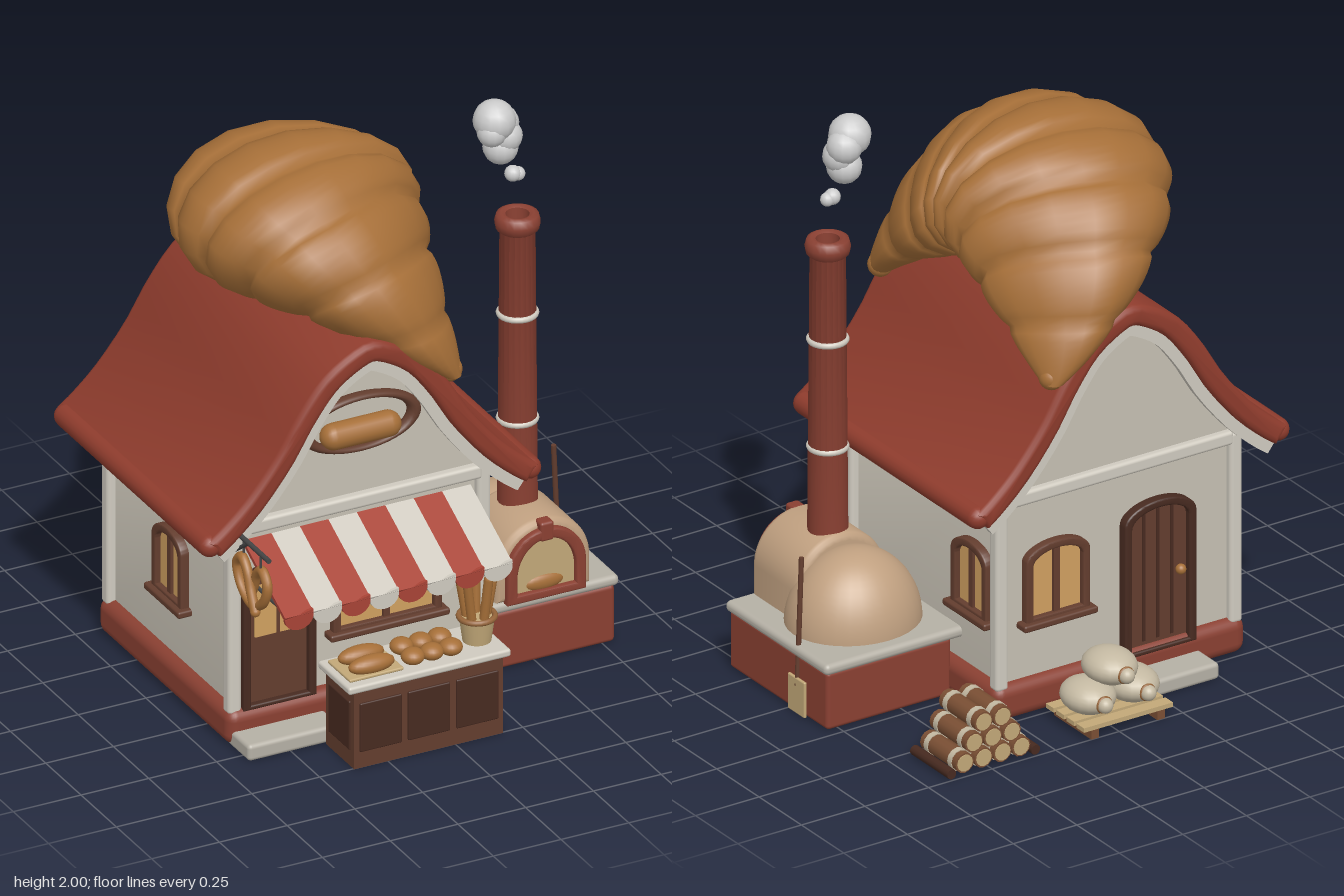
import * as THREE from 'three';
import { toCreasedNormals } from 'three/addons/utils/BufferGeometryUtils.js';
import { RoundedBoxGeometry } from 'three/addons/geometries/RoundedBoxGeometry.js';

const mat = (color) => new THREE.MeshStandardMaterial({ color });
const M = {
  wall: mat(0xc6c0b3), stone: mat(0xb5b0a5), red: mat(0x8a4032), roof: mat(0x8f3c2d), stripe: mat(0xa84336),
  white: mat(0xcfcabf), wood: mat(0x633d2e), dark: mat(0x472a20), glass: mat(0xd0a060), bread: mat(0xa66f38),
  crust: mat(0x96653a), clay: mat(0xc0a080), log: mat(0x7a4f34), cut: mat(0xc2a878), iron: mat(0x454545),
  sack: mat(0xc4b9a2), smoke: mat(0xcccccc),
};

function add(parent, name, geo, material, x = 0, y = 0, z = 0) {
  const m = new THREE.Mesh(geo, material);
  m.name = name;
  m.position.set(x, y, z);
  parent.add(m);
  return m;
}
function group(parent, name, x = 0, y = 0, z = 0, ry = 0) {
  const g = new THREE.Group();
  g.name = name;
  g.position.set(x, y, z);
  g.rotation.y = ry;
  parent.add(g);
  return g;
}
const box = (w, h, d) => new THREE.BoxGeometry(w, h, d);
const rbox = (w, h, d, r) => new RoundedBoxGeometry(w, h, d, 3, r);
const cyl = (a, b, h, n = 20) => new THREE.CylinderGeometry(a, b, h, n);
const ball = (r) => new THREE.SphereGeometry(r, 20, 14);
function extrude(shape, depth, bevel = 0) {
  const g = new THREE.ExtrudeGeometry(shape, {
    depth, curveSegments: 16, bevelEnabled: bevel > 0, bevelSize: bevel, bevelThickness: bevel, bevelSegments: 3, bevelOffset: -bevel,
  });
  return toCreasedNormals(g, 0.7);
}
// Upright outline with a rounded top, standing on y = y0
function arch(w, h, rise, y0 = 0, Type = THREE.Shape) {
  const s = new Type();
  s.moveTo(-w / 2, y0);
  s.lineTo(w / 2, y0);
  s.lineTo(w / 2, h - rise);
  s.absellipse(0, h - rise, w / 2, rise, 0, Math.PI, false);
  s.closePath();
  return s;
}
function archFrame(w, h, rise, t, y0 = t) {
  const s = arch(w, h, rise);
  s.holes.push(arch(w - 2 * t, h - t, Math.max(rise - t / 2, 0.01), y0, THREE.Path));
  return s;
}
function rod(parent, name, a, b, r, material) {
  const A = new THREE.Vector3(...a), B = new THREE.Vector3(...b), d = B.clone().sub(A);
  const m = add(parent, name, cyl(r, r, d.length(), 10), material);
  m.position.copy(A).add(B).multiplyScalar(0.5);
  m.quaternion.setFromUnitVectors(new THREE.Vector3(0, 1, 0), d.normalize());
  return m;
}

function addWindow(parent, w, h, x, y, z, ry) {
  const g = group(parent, 'window', x, y, z, ry);
  add(g, 'windowFrame', extrude(archFrame(w, h, 0.06, 0.028), 0.035, 0.006), M.wood, 0, 0, -0.01);
  add(g, 'windowPane', extrude(arch(w - 0.02, h - 0.01, 0.055), 0.01), M.glass);
  add(g, 'mullion', box(0.025, h - 0.03, 0.02), M.wood, 0, h / 2, 0.01);
  add(g, 'windowSill', rbox(w + 0.04, 0.025, 0.06, 0.008), M.wood, 0, 0.005, 0.02);
}
function addDoor(parent, x, y, z, ry, w, h, glazed) {
  const g = group(parent, 'door', x, y, z, ry);
  add(g, 'doorFrame', extrude(archFrame(w, h, 0.07, 0.028, 0.016), 0.04, 0.006), M.dark, 0, 0, -0.01);
  add(g, 'doorLeaf', extrude(arch(w - 0.02, h - 0.01, 0.065), 0.012), M.wood);
  if (glazed) {
    add(g, 'doorPane', box(w - 0.1, 0.19, 0.01), M.glass, 0, h - 0.17, 0.012);
    add(g, 'doorBar', box(0.012, 0.19, 0.01), M.wood, 0, h - 0.17, 0.016);
  } else for (const i of [-1, 0, 1]) add(g, 'plankGroove', box(0.012, h - 0.08, 0.006), M.dark, i * 0.055, h / 2, 0.012);
  add(g, 'doorHandle', ball(0.018), M.bread, w * 0.3, 0.27, 0.025);
}

// Bell-cast roof curve, running left to right
const half = [[0.61, 0.825], [0.55, 0.87], [0.46, 0.955], [0.36, 1.08], [0.28, 1.21], [0.19, 1.325], [0.09, 1.395]];
const roofCurve = new THREE.SplineCurve([...half.map(([x, y]) => [-x, y]), [0, 1.425], ...[...half].reverse()]
  .map(([x, y]) => new THREE.Vector2(x, y)));
function roofBand(a, b) {
  const edge = (o) => Array.from({ length: 37 }, (_, i) => {
    const p = roofCurve.getPoint(i / 36), t = roofCurve.getTangent(i / 36);
    return new THREE.Vector2(p.x + t.y * o, p.y - t.x * o);
  });
  return new THREE.Shape([...edge(b), ...edge(a).reverse()]);
}

function buildHouse(root) {
  const h = group(root, 'house', -0.18);
  add(h, 'foundation', rbox(0.99, 0.13, 0.94, 0.04), M.red, 0, 0.065, -0.025);
  const side = [[0.455, 0.1], [0.455, 0.87], [0.36, 0.99], [0.28, 1.12], [0.19, 1.25], [0.09, 1.33]];
  const wall = new THREE.Shape([...side, [0, 1.36], ...[...side].reverse().map(([x, y]) => [-x, y])]
    .map(([x, y]) => new THREE.Vector2(x, y)));
  add(h, 'walls', extrude(wall, 0.86), M.wall, 0, 0, -0.46);
  for (const x of [-0.46, 0.46]) for (const z of [-0.46, 0.4])
    add(h, 'cornerPost', rbox(0.05, 0.7, 0.05, 0.015), M.white, x, 0.46, z);
  for (const z of [-0.465, 0.41]) add(h, 'crossBeam', rbox(0.9, 0.05, 0.04, 0.012), M.white, 0, 0.79, z);
  add(h, 'roof', extrude(roofBand(0, 0.075), 1.055, 0.022), M.roof, 0, 0, -0.548);
  for (const s of [-1, 1]) add(h, 'eaveRoll', new THREE.CapsuleGeometry(0.04, 1.015, 6, 16), M.roof, s * 0.59, 0.803, -0.02).rotation.x = Math.PI / 2;
  for (const z of [-0.545, 0.475]) add(h, 'bargeboard', extrude(roofBand(0.06, 0.115), 0.025), M.white, 0, 0, z);

  // Oval gable sign with a loaf
  add(h, 'signRing', new THREE.TorusGeometry(0.2, 0.024, 12, 40), M.wood, 0, 1.085, 0.42).scale.set(1, 0.47, 1);
  const loaf = add(h, 'signLoaf', new THREE.CapsuleGeometry(0.046, 0.2, 8, 16), M.bread, 0, 1.055, 0.425);
  loaf.rotation.z = Math.PI / 2;

  addDoor(h, -0.3, 0.12, 0.4, 0, 0.27, 0.52, true);
  addWindow(h, 0.4, 0.32, 0.1, 0.31, 0.4, 0);
  addDoor(h, -0.155, 0.1, -0.46, Math.PI, 0.28, 0.55, false);
  addWindow(h, 0.25, 0.29, 0.245, 0.32, -0.46, Math.PI);
  addWindow(h, 0.21, 0.27, 0.455, 0.33, -0.315, Math.PI / 2);
  addWindow(h, 0.21, 0.27, -0.455, 0.33, -0.02, -Math.PI / 2);
  add(h, 'frontStep', rbox(0.34, 0.06, 0.16, 0.015), M.stone, -0.31, 0.03, 0.475);
  add(h, 'backStep', rbox(0.3, 0.06, 0.14, 0.015), M.stone, -0.16, 0.03, -0.54);
}

function buildAwning(root) {
  const g = group(root, 'awning'), n = 8, w = 0.84 / n;
  const flap = new THREE.Shape();
  flap.moveTo(-w / 2, 0.02);
  flap.absellipse(0, 0, w / 2, 0.045, Math.PI, 2 * Math.PI, false);
  flap.lineTo(w / 2, 0.02);
  for (let i = 0; i < n; i++) {
    const x = -0.61 + w * (i + 0.5), m = i % 2 ? M.white : M.stripe;
    add(g, 'awningStripe', box(w, 0.014, 0.335), m, x, 0.668, 0.565).rotation.x = 0.464;
    add(g, 'awningFlap', extrude(flap, 0.012), m, x, 0.59, 0.705);
  }
  for (const x of [-0.59, 0.21]) rod(g, 'awningArm', [x, 0.6, 0.41], [x, 0.6, 0.7], 0.007, M.iron);
}

// Swept crescent: plane grid bent into lobed rings that fan out from the inner side
function buildCroissant(root) {
  const lobes = 9, g = new THREE.PlaneGeometry(1, 1, 18, lobes * 8), p = g.attributes.position;
  for (let i = 0; i < p.count; i++) {
    const phi = p.getX(i) * 2 * Math.PI + Math.PI / 2, v = p.getY(i), th = v * Math.PI;
    const c = Math.max(Math.cos(th), 0), s = (((v + 0.5) * lobes) % 1 + 1) % 1;
    const k = 0.89 + 0.11 * Math.sqrt(Math.max(Math.sin(Math.PI * s), 0));
    const u = Math.cos(phi), r = (0.05 + 0.22 * c + 0.05 * c * (1 - c)) * k * Math.sin(phi);
    const n = new THREE.Vector2(Math.sin(th) * 0.44, Math.cos(th) * 0.5).normalize();
    const arc = 0.26 * Math.sin(th) + 0.5 * v;
    const z = (arc + r * n.x) * (1 - c * (0.42 * u + 0.2 * u * u));
    p.setXYZ(i, 0.12 - 0.3 * c + (0.04 + 0.39 * c) * k * u, 1.22 + 0.44 * c + r * n.y, z - 0.025);
  }
  g.computeVertexNormals();
  add(root, 'croissant', g, M.bread);
  for (const s of [-1, 1]) add(root, 'croissantTip', ball(0.043), M.bread, 0.12, 1.235, s * 0.505 - 0.025);
}

function buildOven(root) {
  const g = group(root, 'oven', 0.53);
  add(g, 'ovenBase', rbox(0.49, 0.21, 0.58, 0.015), M.red, 0.02, 0.105, 0.07);
  add(g, 'ovenSlab', rbox(0.56, 0.04, 0.6, 0.018), M.stone, 0, 0.225, 0.065);
  const dome = new THREE.SphereGeometry(0.235, 32, 16, 0, Math.PI * 2, 0, Math.PI / 2);
  add(g, 'ovenDome', dome, M.clay, 0, 0.235, 0.025).scale.set(1, 1.1, 0.9);
  add(g, 'ovenMouth', extrude(arch(0.35, 0.28, 0.17), 0.225, 0.025), M.clay, 0, 0.24, 0.115);
  add(g, 'mouthArch', extrude(archFrame(0.29, 0.255, 0.145, 0.037, 0.03), 0.035, 0.008), M.red, 0, 0.24, 0.345);
  add(g, 'mouthOpening', extrude(arch(0.22, 0.22, 0.11), 0.004), M.cut, 0, 0.25, 0.364);
  add(g, 'ovenLoaf', ball(0.05), M.bread, 0, 0.29, 0.36).scale.set(1.5, 0.6, 0.4);
  add(g, 'keystone', rbox(0.05, 0.07, 0.05, 0.01), M.red, 0, 0.485, 0.365);
  const prof = [[0.068, 0.45], [0.06, 1.505], [0.072, 1.515], [0.077, 1.54], [0.07, 1.565], [0.055, 1.572], [0.04, 1.565], [0.036, 1.46], [0, 1.46]];
  add(g, 'chimney', toCreasedNormals(new THREE.LatheGeometry(prof.map(([x, y]) => new THREE.Vector2(x, y)), 20), 0.9), M.red, 0, 0, 0.175);
  for (const y of [0.81, 1.2]) add(g, 'chimneyRing', new THREE.TorusGeometry(0.061, 0.011, 8, 24), M.white, 0, y, 0.175).rotation.x = Math.PI / 2;
  for (const [x, y, z, r] of [[-0.015, 1.715, 0.17, 0.028], [0.005, 1.71, 0.17, 0.024], [-0.055, 1.82, 0.16, 0.06], [-0.04, 1.86, 0.165, 0.058],
    [-0.08, 1.925, 0.165, 0.072], [-0.045, 1.9, 0.145, 0.06], [-0.1, 1.895, 0.185, 0.05]])
    add(g, 'smokePuff', new THREE.SphereGeometry(r, 14, 10), M.smoke, x, y, z);
  // Bread peel leaning on the slab
  rod(g, 'peelHandle', [0.27, 0.1, -0.05], [0.24, 0.55, -0.03], 0.009, M.wood);
  add(g, 'peelBlade', rbox(0.012, 0.13, 0.1, 0.005), M.cut, 0.272, 0.066, -0.053);
}

function buildCounter(root) {
  const g = group(root, 'counter', -0.1, 0, 0.655);
  add(g, 'counterBody', box(0.55, 0.285, 0.2), M.wood, 0, 0.1425, 0);
  add(g, 'counterTop', rbox(0.6, 0.028, 0.225, 0.01), M.white, 0, 0.296, 0);
  for (const i of [-1, 0, 1]) add(g, 'counterPanel', rbox(0.155, 0.18, 0.012, 0.005), M.dark, i * 0.178, 0.15, 0.101);
  for (const s of [-1, 1]) add(g, 'sidePanel', rbox(0.012, 0.18, 0.15, 0.005), M.dark, s * 0.275, 0.15, 0);
  add(g, 'breadBoard', rbox(0.2, 0.012, 0.16, 0.005), M.cut, -0.18, 0.316, 0);
  for (const z of [-0.035, 0.04]) add(g, 'loaf', ball(0.04), M.bread, -0.18, 0.34, z).scale.set(2.1, 0.8, 0.9);
  for (let i = 0; i < 3; i++) for (const z of [-0.035, 0.045])
    add(g, 'bun', ball(0.04), M.bread, -0.03 + i * 0.07, 0.335, z).scale.y = 0.7;
  add(g, 'basket', cyl(0.06, 0.048, 0.09), M.cut, 0.23, 0.355, 0);
  add(g, 'basketRim', new THREE.TorusGeometry(0.06, 0.01, 8, 24), M.crust, 0.23, 0.4, 0).rotation.x = Math.PI / 2;
  for (let i = 0; i < 5; i++) {
    const a = i * 1.257, c = Math.cos(a), s = Math.sin(a);
    const b = rod(g, 'baguette', [0.23 + c * 0.025, 0.34, s * 0.025], [0.23 + c * 0.065, 0.56, s * 0.05], 0.015, M.bread);
    b.geometry = new THREE.CapsuleGeometry(0.016, 0.2, 6, 10);
  }
}

function buildPretzelSign(root) {
  const g = group(root, 'pretzelSign', -0.66, 0.67, 0.58, Math.PI / 2);
  const lobe = [[-0.45, -0.75], [-0.08, -0.1], [0.2, 0.5], [0.6, 0.8], [1, 0.4], [0.75, -0.3]];
  const pts = [...lobe, [0, -0.7], ...[...lobe].reverse().map(([x, y]) => [-x, y])]
    .map(([x, y], i) => new THREE.Vector3(x * 0.1, y * 0.1, (i - 6) * 0.002));
  add(g, 'pretzel', new THREE.TubeGeometry(new THREE.CatmullRomCurve3(pts), 80, 0.017, 10), M.bread);
  for (const i of [0, 12]) add(g, 'pretzelEnd', ball(0.017), M.bread, ...pts[i].toArray());
  rod(root, 'signBracket', [-0.66, 0.815, 0.4], [-0.66, 0.815, 0.7], 0.009, M.iron);
  rod(root, 'signBrace', [-0.66, 0.71, 0.41], [-0.66, 0.81, 0.55], 0.007, M.iron);
  for (const z of [0.52, 0.64]) rod(root, 'signHanger', [-0.66, 0.73, z], [-0.66, 0.815, z], 0.004, M.iron);
}

function buildSupplies(root) {
  // Firewood stack
  const logs = group(root, 'firewood', 0.49, 0, -0.635);
  for (let row = 0; row < 3; row++) for (let i = 0; i < 4 - row; i++) {
    const l = group(logs, 'log', (i - (3 - row) / 2) * 0.074, 0.045 + row * 0.065, 0);
    l.rotation.x = Math.PI / 2;
    add(l, 'bark', cyl(0.036, 0.036, 0.21, 12), M.log);
    for (const s of [-1, 1]) {
      add(l, 'cutEnd', cyl(0.03, 0.03, 0.006, 12), M.cut, 0, s * 0.105, 0);
      add(l, 'logBand', cyl(0.039, 0.039, 0.022, 12), M.sack, 0, s * 0.07, 0);
    }
  }
  for (const s of [-1, 1]) rod(logs, 'stackRail', [s * 0.165, 0.02, -0.11], [s * 0.165, 0.02, 0.11], 0.018, M.dark);
  // Flour sacks on a pallet
  const sacks = group(root, 'flourSacks', -0.035, 0, -0.64);
  for (let i = 0; i < 4; i++) add(sacks, 'palletSlat', box(0.35, 0.016, 0.045), M.cut, 0, 0.042, -0.09 + i * 0.06);
  for (const x of [-0.13, 0.13]) add(sacks, 'palletRunner', box(0.03, 0.034, 0.22), M.log, x, 0.017, 0);
  for (const [x, y] of [[-0.085, 0.105], [0.085, 0.105], [0, 0.19]]) {
    add(sacks, 'sack', ball(0.09), M.sack, x, y, 0).scale.set(1, 0.66, 1.15);
    add(sacks, 'sackNeck', ball(0.027), M.sack, x, y, -0.102);
    add(sacks, 'sackTie', new THREE.TorusGeometry(0.024, 0.007, 8, 16), M.crust, x, y, -0.096);
  }
}

export function createModel() {
  const root = new THREE.Group();
  root.name = 'bakery';
  for (const build of [buildHouse, buildAwning, buildCroissant, buildOven, buildCounter, buildPretzelSign, buildSupplies]) build(root);
  return root;
}
